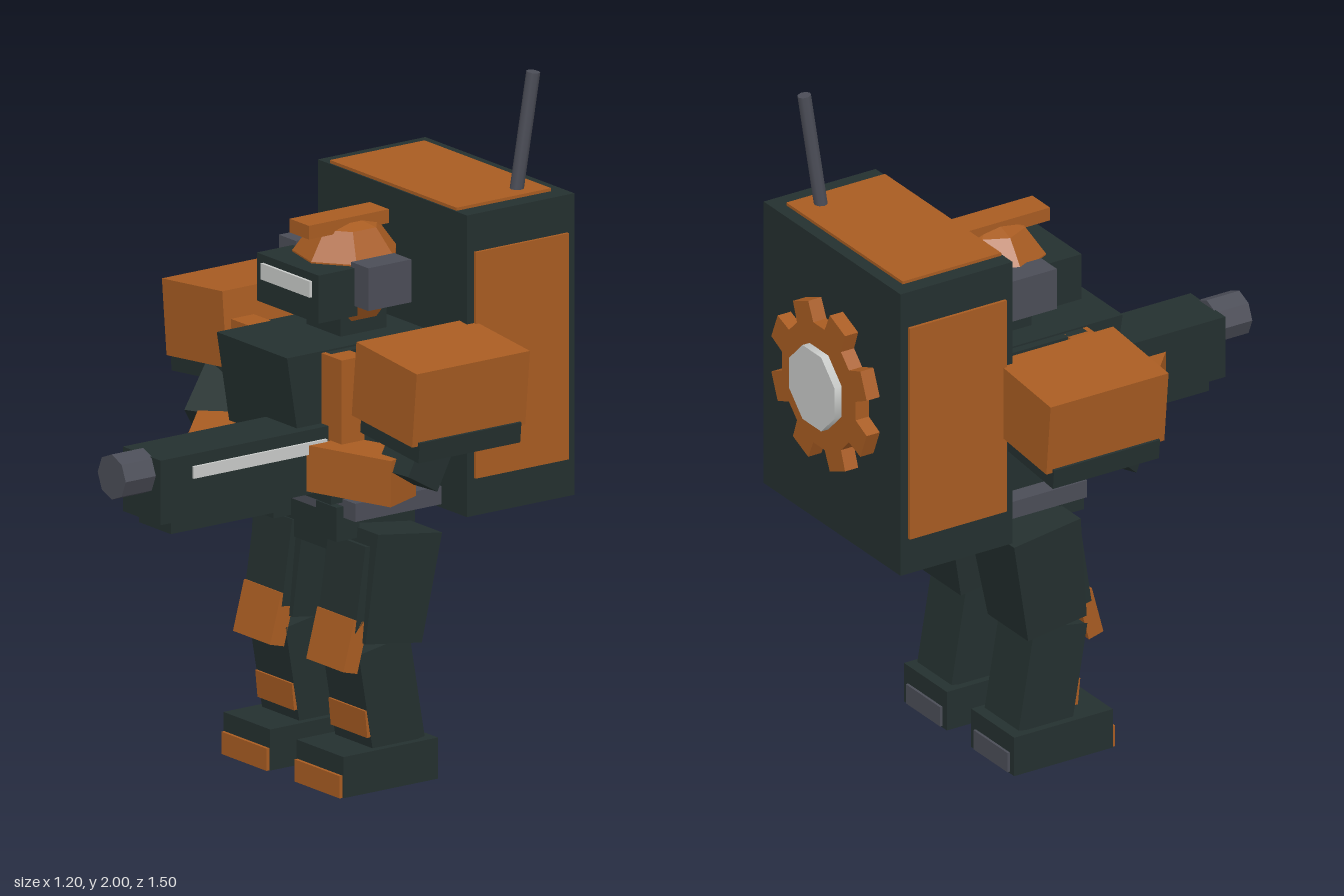
import * as THREE from 'three';

const mat = (name, color) => {
  const m = new THREE.MeshStandardMaterial({ color });
  m.name = name;
  return m;
};

export function createModel() {
  const root = new THREE.Group();
  root.name = 'armouredTrooper';
  const dark = mat('darkArmour', 0x24302f);
  const orange = mat('orangePaint', 0xa85c22);
  const grey = mat('gunmetal', 0x4b4d57);
  const light = mat('paleMetal', 0xc8cac8);

  const add = (name, geo, m, parent = root) => {
    const mesh = new THREE.Mesh(geo, m);
    mesh.name = name;
    parent.add(mesh);
    return mesh;
  };
  // Axis-aligned box from x, y and z ranges
  const span = (name, m, [x0, x1], [y0, y1], [z0, z1], parent) => {
    const mesh = add(name, new THREE.BoxGeometry(Math.abs(x1 - x0), y1 - y0, Math.abs(z1 - z0)), m, parent);
    mesh.position.set((x0 + x1) / 2, (y0 + y1) / 2, (z0 + z1) / 2);
    return mesh;
  };
  // Box given by size, centre and rotation
  const block = (name, m, size, pos, rot = [0, 0, 0], parent) => {
    const mesh = add(name, new THREE.BoxGeometry(...size), m, parent);
    mesh.position.set(...pos);
    mesh.rotation.set(...rot);
    return mesh;
  };
  // Box running between two points
  const beam = (name, m, a, b, w, h, parent) => {
    const p = new THREE.Vector3(...a), q = new THREE.Vector3(...b);
    const mesh = add(name, new THREE.BoxGeometry(w, h, p.distanceTo(q)), m, parent);
    mesh.position.copy(p).add(q).multiplyScalar(0.5);
    mesh.lookAt(q);
    return mesh;
  };
  // Scale the lower corners of a box
  const taper = (mesh, sx, sz) => {
    const p = mesh.geometry.attributes.position;
    for (let i = 0; i < p.count; i++) if (p.getY(i) < 0) p.setXYZ(i, p.getX(i) * sx, p.getY(i), p.getZ(i) * sz);
    mesh.geometry.computeVertexNormals();
    return mesh;
  };

  // Backpack with painted panels
  span('backpack', dark, [-0.35, 0.35], [0.77, 1.65], [-0.685, -0.31]);
  span('backpackTopPanel', orange, [-0.3, 0.295], [1.65, 1.659], [-0.645, -0.315]);
  for (const s of [-1, 1]) span('backpackSidePanel', orange, [s * 0.35, s * 0.359], [0.88, 1.54], [-0.66, -0.335]);

  // Gear emblem plate: eight square teeth around a hub
  const gear = new THREE.Shape();
  for (let i = 0; i < 8; i++) {
    const c = (i + 0.5) * Math.PI / 4;
    [[0.19, -0.24], [0.25, -0.17], [0.25, 0.17], [0.19, 0.24]].forEach(([r, d], k) => {
      const x = r * Math.cos(c + d), y = r * Math.sin(c + d);
      if (i + k === 0) gear.moveTo(x, y); else gear.lineTo(x, y);
    });
  }
  gear.closePath();
  add('backGear', new THREE.ExtrudeGeometry(gear, { depth: 0.045, bevelEnabled: false }), orange).position.set(0, 1.23, -0.729);
  const hub = add('gearHub', new THREE.CylinderGeometry(0.125, 0.125, 0.03, 8).toNonIndexed(), light);
  hub.rotation.set(Math.PI / 2, Math.PI / 8, 0);
  hub.position.set(0, 1.23, -0.738);

  // Antenna
  const a0 = new THREE.Vector3(0.237, 1.64, -0.565), a1 = new THREE.Vector3(0.262, 1.998, -0.607);
  const dir = a1.clone().sub(a0);
  const antenna = add('antenna', new THREE.CylinderGeometry(0.02, 0.02, dir.length(), 8), grey);
  antenna.position.copy(a0).add(a1).multiplyScalar(0.5);
  antenna.quaternion.setFromUnitVectors(new THREE.Vector3(0, 1, 0), dir.normalize());

  // Head
  const helmetGeo = new THREE.SphereGeometry(0.16, 7, 5).toNonIndexed();
  helmetGeo.computeVertexNormals();
  add('helmet', helmetGeo, orange).position.set(0, 1.445, -0.15);
  span('crest', orange, [-0.045, 0.045], [1.565, 1.605], [-0.265, 0.015]);
  span('visor', dark, [-0.145, 0.145], [1.35, 1.49], [-0.08, 0.055]);
  span('visorSlit', light, [-0.115, 0.115], [1.42, 1.467], [0.055, 0.064]);
  for (const s of [-1, 1]) span('earPiece', grey, [s * 0.13, s * 0.21], [1.38, 1.505], [-0.22, -0.07]);
  span('neck', dark, [-0.08, 0.08], [1.25, 1.36], [-0.23, -0.07]);

  // Torso, with a chest plate that slopes in towards the belly
  span('torso', dark, [-0.19, 0.19], [0.83, 1.27], [-0.31, 0.045]);
  const chest = new THREE.Shape([[0.18, 1.275], [-0.31, 1.275], [-0.31, 1.0], [0.135, 1.0]].map(p => new THREE.Vector2(...p)));
  const chestMesh = add('chestPlate', new THREE.ExtrudeGeometry(chest, { depth: 0.33, bevelEnabled: false }), dark);
  chestMesh.rotation.y = -Math.PI / 2;
  chestMesh.position.x = 0.165;
  for (const s of [-1, 1]) span('chestStrap', orange, [s * 0.16, s * 0.26], [1.025, 1.27], [-0.02, 0.06]);

  // Belt, pouches and pelvis
  span('belt', grey, [-0.25, 0.25], [0.787, 0.84], [-0.295, 0.005]);
  taper(span('pelvis', dark, [-0.15, 0.15], [0.66, 0.79], [-0.28, -0.03]), 0.95, 1);
  for (const s of [-1, 1]) span('beltPouch', dark, [s * 0.1, s * 0.195], [0.72, 0.82], [-0.05, 0.03]);

  // Legs
  for (const s of [-1, 1]) {
    const leg = new THREE.Group();
    leg.name = s > 0 ? 'leftLeg' : 'rightLeg';
    root.add(leg);
    taper(block('thigh', dark, [0.24, 0.32, 0.225], [s * 0.172, 0.577, -0.133], [-0.14, 0, 0], leg), 0.86, 0.88);
    block('thighGuard', dark, [0.175, 0.25, 0.04], [s * 0.172, 0.585, -0.025], [-0.15, 0, 0], leg);
    block('thighTrim', orange, [0.03, 0.06, 0.02], [s * 0.235, 0.67, -0.035], [-0.14, 0, 0], leg);
    block('kneePad', orange, [0.175, 0.15, 0.05], [s * 0.172, 0.425, 0.01], [-0.26, 0, 0], leg);
    block('shin', dark, [0.175, 0.31, 0.18], [s * 0.172, 0.262, -0.115], [0.17, 0, 0], leg);
    block('shinBand', orange, [0.172, 0.08, 0.02], [s * 0.172, 0.193, -0.037], [0.1, 0, 0], leg);
    span('foot', dark, [s * 0.062, s * 0.282], [0, 0.12], [-0.26, 0.07], leg);
    span('toeCap', orange, [s * 0.066, s * 0.278], [0, 0.065], [0.07, 0.08], leg);
    span('heelPlate', grey, [s * 0.085, s * 0.26], [0.005, 0.065], [-0.268, -0.26], leg);
  }

  // Shoulders
  for (const s of [-1, 1]) {
    const side = s > 0 ? 'left' : 'right';
    block(side + 'ShoulderPad', orange, [0.285, 0.22, 0.395], [s * 0.446, 1.212, -0.148], [0, 0, -s * 0.1]);
    block(side + 'ShoulderRim', dark, [0.275, 0.06, 0.355], [s * 0.446, 1.083, -0.148], [0, 0, -s * 0.1]);
  }
  // Arms holding the gun
  beam('rightUpperArm', dark, [-0.42, 1.16, -0.14], [-0.31, 0.95, 0.09], 0.13, 0.13);
  beam('rightForearm', orange, [-0.25, 0.945, 0.1], [0.07, 0.945, 0.4], 0.135, 0.13);
  beam('leftUpperArm', dark, [0.43, 1.16, -0.15], [0.445, 0.95, -0.03], 0.13, 0.13);
  beam('leftForearm', orange, [0.43, 0.95, -0.03], [0.17, 0.955, 0.075], 0.135, 0.135);

  // Gun
  const gun = new THREE.Group();
  gun.name = 'gun';
  root.add(gun);
  span('gunBody', dark, [0.02, 0.198], [0.877, 1.065], [-0.02, 0.645], gun);
  span('gunUnderRail', dark, [0.035, 0.185], [0.84, 0.877], [0.21, 0.6], gun);
  span('gunSideStrip', light, [0.198, 0.206], [0.995, 1.03], [0.07, 0.535], gun);
  const muzzleGeo = new THREE.CylinderGeometry(0.066, 0.066, 0.11, 8).toNonIndexed();
  muzzleGeo.computeVertexNormals();
  const muzzle = add('gunMuzzle', muzzleGeo, grey, gun);
  muzzle.rotation.x = Math.PI / 2;
  muzzle.position.set(0.109, 1.015, 0.695);

  return root;
}
